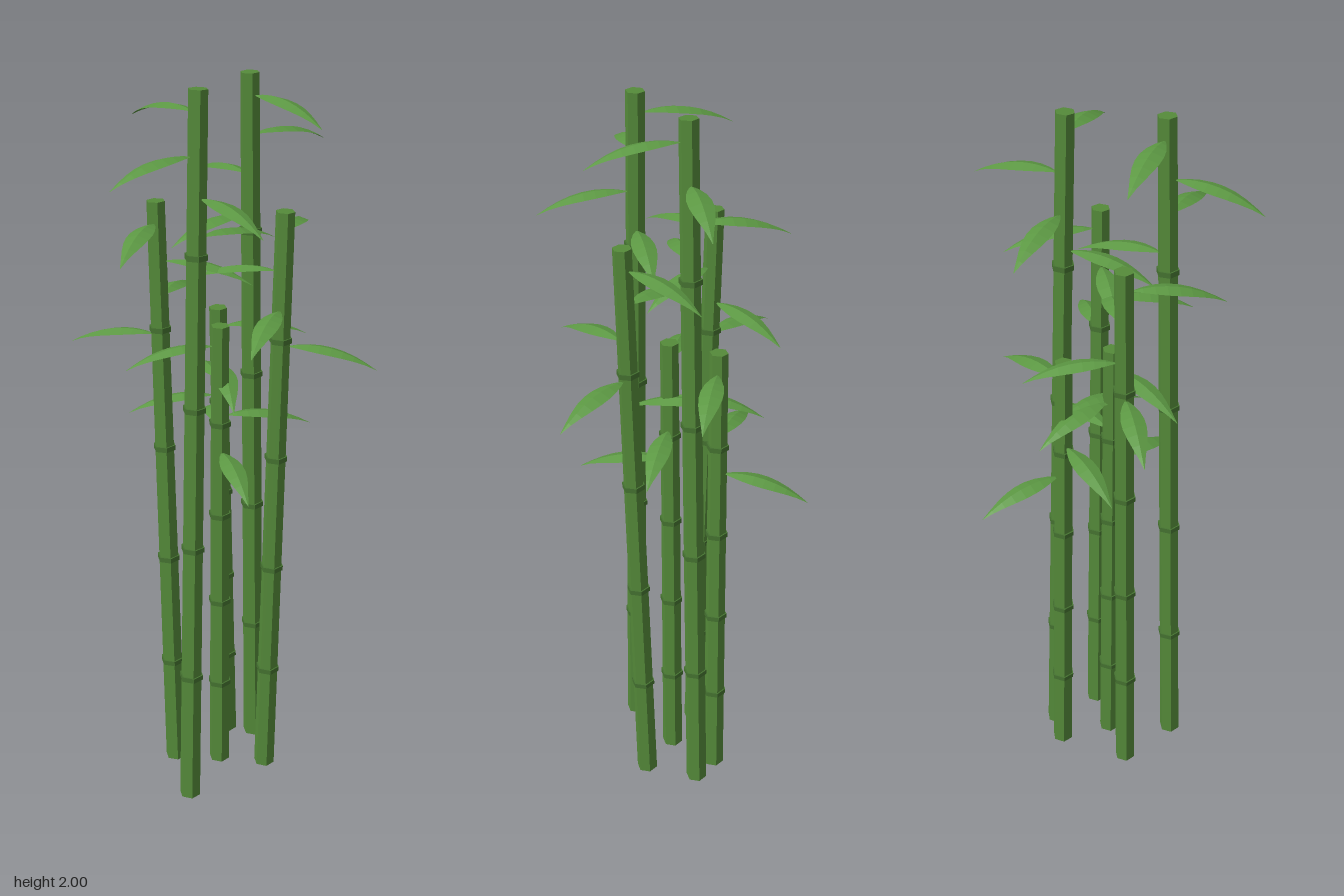
import * as THREE from 'three';

const stalkGreen = new THREE.MeshStandardMaterial({ name: 'stalkGreen', color: 0x558b3a, flatShading: true });
const nodeGreen = new THREE.MeshStandardMaterial({ name: 'nodeGreen', color: 0x467431, flatShading: true });
const leafGreen = new THREE.MeshStandardMaterial({ name: 'leafGreen', color: 0x5c9843, flatShading: true, side: THREE.DoubleSide });

// base [x, z], top [x, z], height, and the heading of each leaf from the top down (degrees from +x towards +z)
const STALKS = [
  { base: [-0.13, 0.165], top: [-0.085, 0.125], height: 2.0, leaves: [241, 155, 65, -25] },
  { base: [0.12, -0.085], top: [0.08, -0.045], height: 2.0, leaves: [61, -25, 245, 155] },
  { base: [0.115, 0.068], top: [0.136, 0.104], height: 1.69, leaves: [-62, 208, 122, 26] },
  { base: [-0.135, -0.018], top: [-0.157, -0.059], height: 1.69, leaves: [121, 28, -57, 208] },
  { base: [-0.01, 0.02], top: [-0.01, 0.025], height: 1.375, leaves: [178, 266, 0, 86] },
  { base: [0.045, -0.12], top: [0.015, -0.111], height: 1.375, leaves: [-3, 94, 188, 275] },
];

// Arched blade along +x with a raised midrib and a long thin tip
function leafGeometry(length = 0.235, halfWidth = 0.03, steps = 8) {
  const positions = [], indices = [];
  for (let i = 0; i <= steps; i++) {
    const t = i / steps;
    const w = halfWidth * Math.pow(Math.sin(Math.PI * Math.pow(t, 0.85)), 1.15) + 0.0004;
    const y = 0.06 * t - 0.105 * t * t;
    for (const side of [-1, 0, 1]) {
      positions.push(t * length, y - Math.abs(side) * w * 0.3, side * w);
    }
    if (i === steps) continue;
    for (let k = 0; k < 2; k++) {
      const a = i * 3 + k, b = a + 3;
      indices.push(a, a + 1, b, a + 1, b + 1, b);
    }
  }
  const geometry = new THREE.BufferGeometry();
  geometry.setAttribute('position', new THREE.Float32BufferAttribute(positions, 3));
  geometry.setIndex(indices);
  geometry.computeVertexNormals();
  return geometry;
}

export function createModel() {
  const model = new THREE.Group();
  model.name = 'bambooClump';
  const leafShape = leafGeometry();
  const nodeShape = new THREE.CylinderGeometry(0.034, 0.034, 0.014, 6);
  const up = new THREE.Vector3(0, 1, 0);

  for (const { base, top, height, leaves } of STALKS) {
    const foot = new THREE.Vector3(base[0], 0, base[1]);
    const tip = new THREE.Vector3(top[0], height, top[1]);
    const axis = tip.clone().sub(foot);
    const tilt = new THREE.Quaternion().setFromUnitVectors(up, axis.clone().normalize());
    const pointAt = (t) => foot.clone().lerp(tip, t);
    const plant = new THREE.Group();
    plant.name = 'bambooStalk';

    // Leaning six-sided cane
    const cane = new THREE.Mesh(new THREE.CylinderGeometry(0.0245, 0.03, axis.length(), 6), stalkGreen);
    cane.name = 'cane';
    cane.position.copy(pointAt(0.5));
    cane.quaternion.copy(tilt);
    plant.add(cane);

    // Joint rings dividing the cane into five
    for (let i = 1; i < 5; i++) {
      const node = new THREE.Mesh(nodeShape, nodeGreen);
      node.name = 'jointRing';
      node.position.copy(pointAt(i / 5));
      node.quaternion.copy(tilt);
      node.scale.set(1 - i * 0.03, 1, 1 - i * 0.03);
      plant.add(node);
    }

    // Leaves spiralling down from the top
    leaves.forEach((degrees, i) => {
      const angle = THREE.MathUtils.degToRad(degrees);
      const leaf = new THREE.Mesh(leafShape, leafGreen);
      leaf.name = 'leaf';
      leaf.position.copy(pointAt((height - 0.055 - 0.1 * i) / height));
      leaf.position.x += Math.cos(angle) * 0.015;
      leaf.position.z += Math.sin(angle) * 0.015;
      leaf.rotation.y = -angle;
      plant.add(leaf);
    });
    model.add(plant);
  }
  return model;
}
